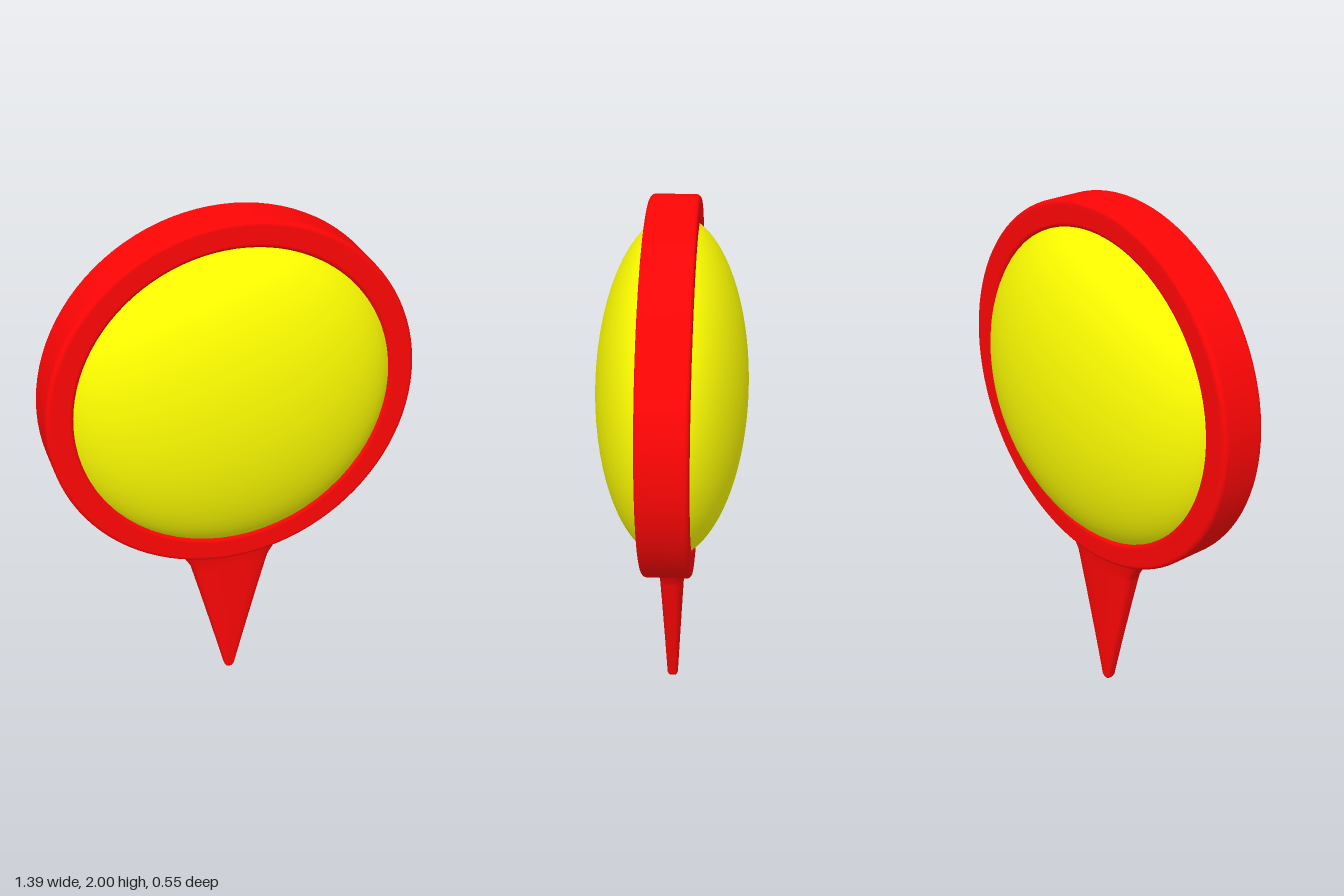
import * as THREE from 'three';

const CENTER_Y = 1.305;

// Closed rounded-rectangle profile, counterclockwise, for the rim
function rimProfile(r0, r1, h, c) {
  const s = new THREE.Shape();
  s.absarc(r1 - c, h - c, c, 0, Math.PI / 2);
  s.absarc(r0 + c, h - c, c, Math.PI / 2, Math.PI);
  s.absarc(r0 + c, -h + c, c, Math.PI, Math.PI * 1.5);
  s.absarc(r1 - c, -h + c, c, Math.PI * 1.5, Math.PI * 2);
  s.closePath();
  return s.getPoints(5);
}

// Soft rectangular cross-sections [y, half width, half depth] joined upward
function loft(sections, n) {
  const pos = [], idx = [];
  const soft = (v) => Math.sign(v) * Math.pow(Math.abs(v), 0.55);
  for (const [y, w, d] of sections) {
    for (let i = 0; i < n; i++) {
      const a = (i / n) * Math.PI * 2;
      pos.push(w * soft(Math.cos(a)), y, d * soft(Math.sin(a)));
    }
  }
  for (let j = 0; j < sections.length - 1; j++) {
    for (let i = 0; i < n; i++) {
      const a = j * n + i, b = j * n + ((i + 1) % n);
      idx.push(a, a + n, b, b, a + n, b + n);
    }
  }
  const g = new THREE.BufferGeometry();
  g.setAttribute('position', new THREE.Float32BufferAttribute(pos, 3));
  g.setIndex(idx);
  g.computeVertexNormals();
  return g;
}

export function createModel() {
  const group = new THREE.Group();
  const red = new THREE.MeshStandardMaterial({ color: 0xff0505 });
  const yellow = new THREE.MeshStandardMaterial({ color: 0xffff00 });
  const add = (name, geometry, material) => {
    const mesh = new THREE.Mesh(geometry, material);
    mesh.name = name;
    group.add(mesh);
    return mesh;
  };

  // Round rim standing upright
  const rim = new THREE.LatheGeometry(rimProfile(0.594, 0.695, 0.09, 0.018), 96);
  rim.rotateX(Math.PI / 2);
  add('rim', rim, red).position.y = CENTER_Y;

  // Bulging lens, the same on both faces
  const lens = new THREE.SphereGeometry(1, 64, 40);
  lens.rotateX(Math.PI / 2);
  lens.scale(0.624, 0.624, 0.277);
  add('lens', lens, yellow).position.y = CENTER_Y;

  // Tapering spike that flares into the rim
  const spike = loft([
    [0, 0, 0], [0, 0.014, 0.016], [0.012, 0.02, 0.021],
    [0.2, 0.067, 0.03], [0.4, 0.118, 0.04], [0.53, 0.152, 0.047],
    [0.55, 0.158, 0.048], [0.6, 0.187, 0.053], [0.622, 0.202, 0.06],
    [0.64, 0.226, 0.07], [0.654, 0.25, 0.075], [0.67, 0.27, 0.075],
  ], 48);
  add('spike', spike, red);

  return group;
}
